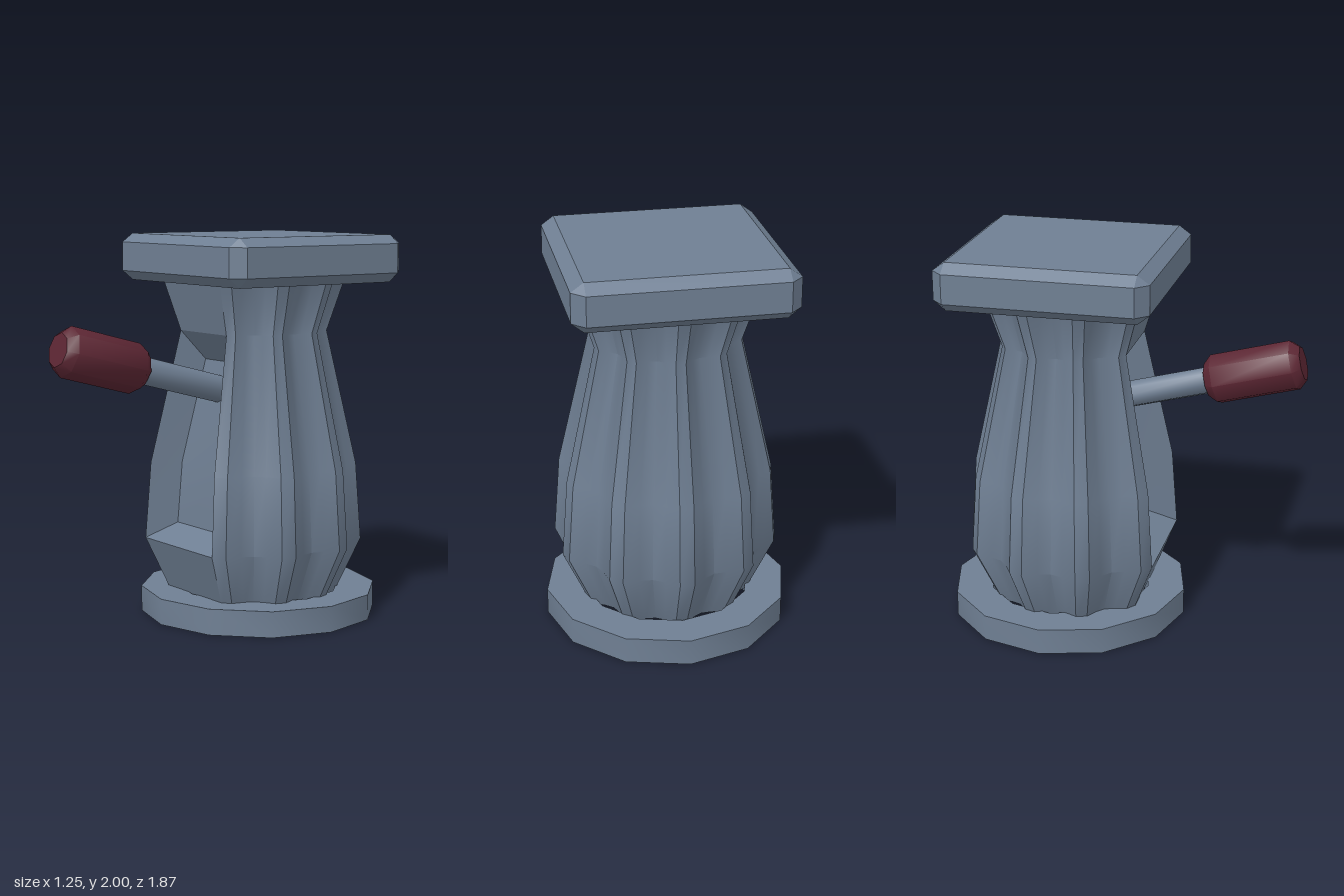
import * as THREE from 'three';
import { toCreasedNormals } from 'three/addons/utils/BufferGeometryUtils.js';
import { ConvexGeometry } from 'three/addons/geometries/ConvexGeometry.js';

const CZ = -0.27; // column axis
const RAD = Math.PI / 180;
const RIDGE = 3.7; // half width of a ridge in degrees
const LEVELS = [0.1, 0.395, 0.8, 1.5, 1.76];
const RADII = [0.434, 0.572, 0.542, 0.382, 0.47];

// Column radius at height y
function radiusAt(y) {
  let i = 0;
  while (i < LEVELS.length - 2 && y > LEVELS[i + 1]) i++;
  return THREE.MathUtils.mapLinear(y, LEVELS[i], LEVELS[i + 1], RADII[i], RADII[i + 1]);
}

// Surface through rows of points, each row left to right, rows upwards
function loft(rows, crease) {
  const n = rows[0].length;
  const index = [];
  for (let r = 0; r < rows.length - 1; r++) {
    for (let i = 0; i < n - 1; i++) {
      const a = r * n + i, b = a + 1, c = a + n, d = c + 1;
      index.push(a, b, d, a, d, c);
    }
  }
  const geo = new THREE.BufferGeometry();
  geo.setAttribute('position', new THREE.Float32BufferAttribute(rows.flat(2), 3));
  geo.setIndex(index);
  return toCreasedNormals(geo, crease);
}

// Turned shape from [radius, height] pairs
function turned(profile, sides, crease) {
  return toCreasedNormals(
    new THREE.LatheGeometry(profile.map(([r, y]) => new THREE.Vector2(r, y)), sides), crease);
}

export function createModel() {
  const model = new THREE.Group();
  const metal = new THREE.MeshStandardMaterial({ color: 0x6f7f93, side: THREE.DoubleSide });
  metal.name = 'blue grey metal';
  const gripRed = new THREE.MeshStandardMaterial({ color: 0x5c2633 });
  gripRed.name = 'dark red grip';

  function add(name, geo, mat, parent = model) {
    const mesh = new THREE.Mesh(geo, mat);
    mesh.name = name;
    parent.add(mesh);
    return mesh;
  }

  // Twelve-sided base ring
  add('baseRing', turned(
    [[0.43, 0], [0.625, 0], [0.625, 0.135], [0.43, 0.135], [0.43, 0]], 12, 0.6), metal)
    .position.z = -0.305;

  // Fluted column: nine ridges with hollow flutes between, open at the front
  const section = [];
  for (let k = 0; k < 9; k++) {
    const a = 54 - 36 * k;
    section.push([a + RIDGE, 1], [a - RIDGE, 1]);
    if (k === 8) break;
    for (let j = 1; j < 4; j++) {
      const t = j / 4;
      section.push([a - RIDGE - t * (36 - 2 * RIDGE), 1 - 0.12 * Math.sin(Math.PI * t)]);
    }
  }
  add('flutedColumn', loft(LEVELS.map((y, i) => section.map(([a, s]) => [
    RADII[i] * s * Math.cos(a * RAD), y, CZ + RADII[i] * s * Math.sin(a * RAD),
  ])), 0.6), metal);

  // Front opening: edge points of the outer face and of the sunken panel
  const edge = (54 + RIDGE) * RAD;
  const outer = (y, s) => [s * radiusAt(y) * Math.cos(edge), y, CZ + radiusAt(y) * Math.sin(edge)];
  const inner = (y, s) => {
    const p = outer(y, s);
    return [p[0] - s * 0.06, y, p[2] - 0.16];
  };
  const pair = (f, y) => [f(y, -1), f(y, 1)];
  const front = new THREE.Group();
  front.name = 'frontRecess';
  model.add(front);
  const outerY = [0.395, 0.8, 1.5], innerY = [0.47, 0.8, 1.345];
  add('lowerPanel', loft([pair(outer, 0.1), pair(outer, 0.395)], 0.3), metal, front);
  add('upperPanel', loft([pair(outer, 1.5), pair(outer, 1.76)], 0.3), metal, front);
  add('recessSill', loft([pair(outer, 0.395), pair(inner, 0.47)], 0.3), metal, front);
  add('recessTop', loft([pair(inner, 1.345), pair(outer, 1.5)], 0.3), metal, front);
  add('recessPanelAndSides', loft(outerY.map((y, i) => [
    outer(y, -1), inner(innerY[i], -1), inner(innerY[i], 1), outer(y, 1),
  ]), 0.3), metal, front);

  // Square cap with chamfered edges
  const corners = [];
  const w = 0.5425, v = 0.48;
  for (const sx of [-1, 1]) {
    for (const sz of [-1, 1]) {
      for (const y of [1.755, 2]) corners.push(new THREE.Vector3(sx * v, y, sz * v));
      for (const y of [1.805, 1.955]) {
        corners.push(new THREE.Vector3(sx * w, y, sz * v), new THREE.Vector3(sx * v, y, sz * w));
      }
    }
  }
  add('cap', new ConvexGeometry(corners), metal).position.z = -0.307;

  // Lever rising forwards out of the recess
  const lever = new THREE.Group();
  lever.name = 'lever';
  lever.position.set(0, 1.331, 0.43);
  lever.rotation.x = 75 * RAD;
  model.add(lever);
  add('leverShaft', turned([[0, -0.56], [0.07, -0.56], [0.07, 0.05]], 8, 0.8), metal, lever);
  add('leverGrip', turned(
    [[0, 0], [0.088, 0], [0.13, 0.045], [0.13, 0.455], [0.088, 0.5], [0, 0.5]], 8, 0.8), gripRed, lever);

  return model;
}
